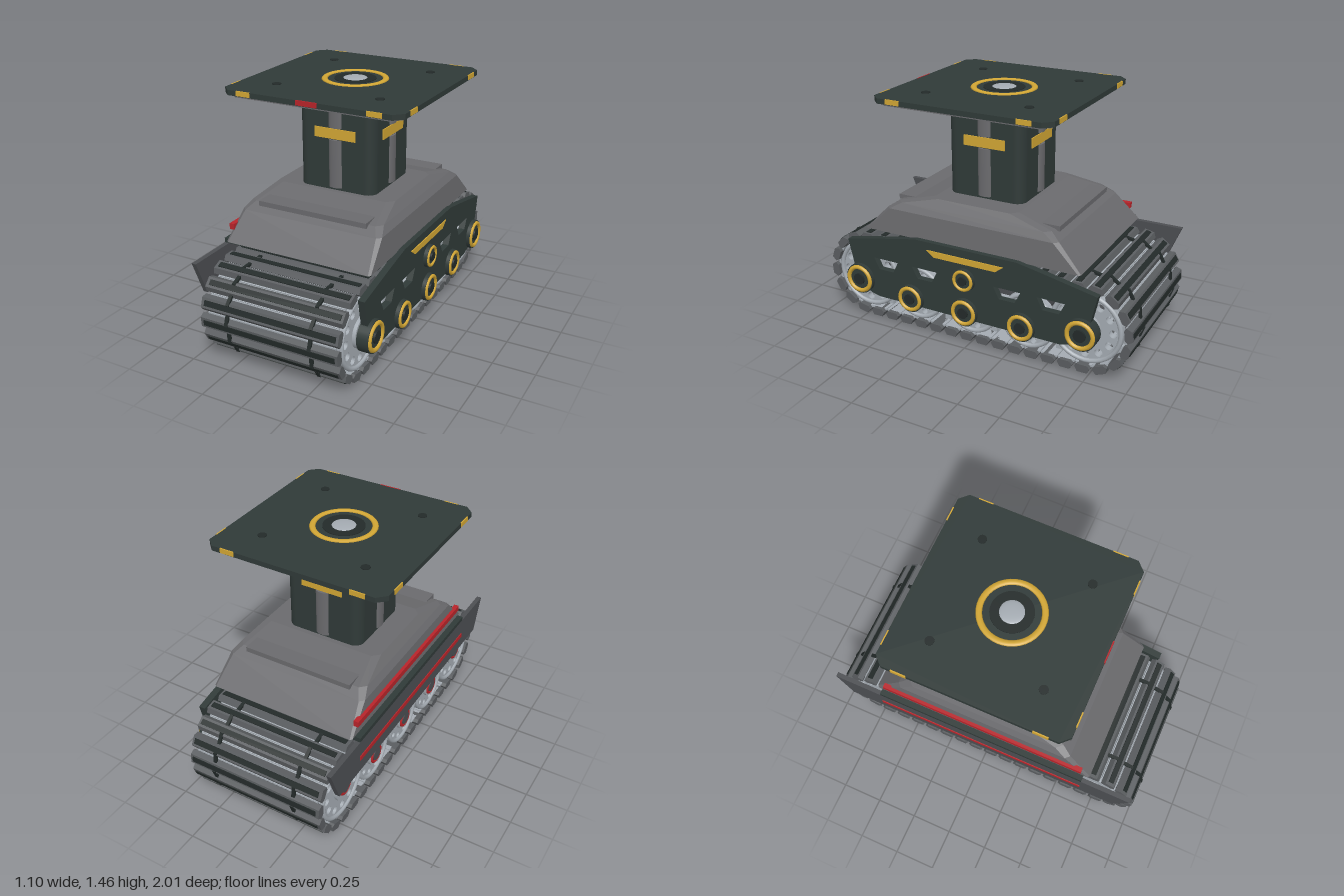
import * as THREE from 'three';

const mat = (name, color, extra = {}) => Object.assign(new THREE.MeshStandardMaterial({ color, ...extra }), { name });

export function createModel() {
  const dark = mat('dark armour', 0x303a38);
  const black = mat('black rubber', 0x232a29);
  const grey = mat('hull grey', 0x6a6a6d);
  const padGrey = mat('track grey', 0x5a5d60);
  const slate = mat('slate grey', 0x4c4e52);
  const silver = mat('silver', 0xa4abb2);
  const gold = mat('gold', 0xd2a634);
  const red = mat('red', 0xb8242a);
  const root = new THREE.Group();
  root.name = 'trackedPlatform';

  const add = (name, geo, material, x = 0, y = 0, z = 0, parent = root) => {
    const m = new THREE.Mesh(geo, material);
    m.name = name;
    m.position.set(x, y, z);
    parent.add(m);
    return m;
  };
  const box = (name, material, x0, x1, y0, y1, z0, z1, parent = root) =>
    add(name, new THREE.BoxGeometry(x1 - x0, y1 - y0, z1 - z0), material,
      (x0 + x1) / 2, (y0 + y1) / 2, (z0 + z1) / 2, parent);
  const poly = pts => new THREE.Shape(pts.map(p => new THREE.Vector2(...p)));
  const mirrored = pts => poly([...pts, ...pts.slice().reverse().map(([z, y]) => [-z, y])]);
  const circleHole = (x, y, r) => new THREE.Path().absarc(x, y, r, 0, Math.PI * 2, true);
  // Outline drawn in (z, y), extruded from x0 to x1
  const sideExtrude = (shape, x0, x1) =>
    new THREE.ExtrudeGeometry(shape, { depth: x1 - x0, bevelEnabled: false, curveSegments: 12 })
      .rotateY(-Math.PI / 2).translate(x1, 0, 0);
  // Outline drawn in (x, z), extruded from y0 to y1
  const upExtrude = (shape, y0, y1) =>
    new THREE.ExtrudeGeometry(shape, { depth: y1 - y0, bevelEnabled: false, curveSegments: 8 })
      .rotateX(-Math.PI / 2).translate(0, y0, 0);
  const discX = (name, material, r, x0, x1, y, z) =>
    add(name, new THREE.CylinderGeometry(r, r, x1 - x0, 28).rotateZ(Math.PI / 2), material, (x0 + x1) / 2, y, z);
  const octagon = (hx, hz, c) => [[hx, hz - c], [hx - c, hz], [-hx + c, hz], [-hx, hz - c],
    [-hx, -hz + c], [-hx + c, -hz], [hx - c, -hz], [hx, -hz + c]];

  // Track: links spaced along a stadium-shaped loop
  const cz = 0.72, cy = 0.28, R = 0.25, links = 42;
  const arc = Math.PI * R, run = cz * 2, total = 2 * (arc + run);
  const padShape = poly([[-0.046, -0.005], [-0.03, 0.025], [0.03, 0.025], [0.046, -0.005], [0.03, -0.022], [-0.03, -0.022]]);
  const padGeo = sideExtrude(padShape, -0.43, 0.425);
  const lipGeo = new THREE.BoxGeometry(0.82, 0.012, 0.032);
  const plateGeo = new THREE.BoxGeometry(0.8, 0.012, 0.1);
  const toothGeo = new THREE.BoxGeometry(0.03, 0.06, 0.04);
  const pegGeo = new THREE.BoxGeometry(0.02, 0.014, 0.1);
  const track = new THREE.Group();
  track.name = 'track';
  root.add(track);
  for (let i = 0; i < links; i++) {
    let s = (i + 0.5) / links * total, z, y, a;   // a = outward angle from up, towards +z
    if (s < run) { z = -cz + s; y = cy + R; a = 0; }
    else if ((s -= run) < arc) { a = s / R; z = cz + R * Math.sin(a); y = cy + R * Math.cos(a); }
    else if ((s -= arc) < run) { z = cz - s; y = cy - R; a = Math.PI; }
    else { a = Math.PI + (s - run) / R; z = -cz + R * Math.sin(a); y = cy + R * Math.cos(a); }
    const link = new THREE.Group();
    link.name = 'trackLink';
    link.position.set(0, y, z);
    link.rotation.x = a;
    add('trackPad', padGeo, padGrey, 0, 0, 0, link);
    add('grouserBar', lipGeo, black, 0, 0.024, 0, link);
    add('linkPlate', plateGeo, silver, 0, -0.016, 0, link);
    for (const x of [-0.26, 0.26]) {
      add('linkPeg', pegGeo, black, x, 0.01, 0.05, link);
      add('guideTooth', toothGeo, silver, x * 1.2, -0.05, 0.03, link);
    }
    track.add(link);
  }

  // Wheels: pierced discs with raised rims, one pair per axle
  const wheel = (name, z, y, r, holes) => {
    const disc = new THREE.Shape().absarc(0, 0, r, 0, Math.PI * 2);
    for (let i = 0; i < holes; i++) {
      const t = i / holes * Math.PI * 2;
      disc.holes.push(circleHole(r * 0.74 * Math.cos(t), r * 0.74 * Math.sin(t), r * 0.11));
    }
    const geo = sideExtrude(disc, -0.02, 0.02);
    const rim = new THREE.TorusGeometry(r - 0.012, 0.014, 8, 36).rotateY(Math.PI / 2);
    for (const x of [-0.39, 0.39]) {
      add(name, geo, silver, x, y, z);
      add(name + 'Rim', rim, silver, x * 1.05, y, z);
      discX(name + 'Hub', silver, r * 0.42, x - 0.04, x + 0.04, y, z);
    }
    discX(name + 'Axle', slate, 0.04, -0.44, 0.45, y, z);
    add(name + 'RedRing', new THREE.TorusGeometry(0.05, 0.01, 8, 24).rotateY(Math.PI / 2), red, -0.43, y, z);
  };
  for (const z of [-cz, cz]) wheel('sprocket', z, 0.285, 0.215, 12);
  for (const z of [-0.365, 0, 0.365]) wheel('roadWheel', z, 0.235, 0.17, 10);
  box('chassis', slate, -0.3, 0.3, 0.3, 0.47, -0.45, 0.45);

  // Left-out side: dark armour panel with windows on +x
  const panel = mirrored([[0.6, 0.185], [0.66, 0.2], [0.76, 0.3], [0.81, 0.525], [0.49, 0.59], [0.33, 0.62]]);
  for (const wz of [-0.54, -0.27, 0.27, 0.54])
    panel.holes.push(new THREE.Path([[-0.085, 0.44], [-0.05, 0.37], [0.05, 0.37], [0.085, 0.44]]
      .map(([a, b]) => new THREE.Vector2(wz + a, b))));
  add('sideArmour', sideExtrude(panel, 0.445, 0.485), dark);
  add('armourStripe', sideExtrude(mirrored([[0.2, 0.535], [0.25, 0.572]]), 0.485, 0.491), gold);
  const hubs = [[-0.725, 0.285, 0.095], [0.725, 0.285, 0.095], [-0.365, 0.235, 0.085],
    [0, 0.235, 0.085], [0.365, 0.235, 0.085], [0, 0.44, 0.07]];
  for (const [z, y, r] of hubs) {
    discX('hubCap', dark, r, 0.44, 0.508, y, z);
    add('hubRing', new THREE.TorusGeometry(r * 0.8, r * 0.14, 8, 28).rotateY(Math.PI / 2), gold, 0.508, y, z);
    discX('hubBolt', black, r * 0.38, 0.5, 0.52, y, z);
  }

  // Slate skirt with red stripe on -x, and its fender
  add('sideSkirt', sideExtrude(mirrored([[0.88, 0.375], [0.965, 0.585]]), -0.49, -0.462), slate);
  box('skirtStripe', red, -0.495, -0.489, 0.455, 0.485, -0.66, 0.66);
  box('fender', dark, -0.49, -0.33, 0.585, 0.612, -0.66, 0.66);
  box('hullRail', red, -0.465, -0.435, 0.665, 0.7, -0.64, 0.64);

  // Hull: flat-sided loft of chamfered rectangles
  const sections = [[0.61, 0.455, 0.695, 0.012], [0.76, 0.44, 0.55, 0.025], [0.8, 0.415, 0.49, 0.035], [0.85, 0.375, 0.27, 0.04]];
  const rings = sections.map(([y, hx, hz, c]) => octagon(hx, hz, c).map(([x, z]) => [x, y, z]));
  const pos = [];
  for (let k = 0; k < rings.length - 1; k++)
    for (let i = 0; i < 8; i++) {
      const j = (i + 1) % 8, a = rings[k][i], b = rings[k][j], c = rings[k + 1][j], d = rings[k + 1][i];
      pos.push(...a, ...c, ...b, ...a, ...d, ...c);
    }
  const last = rings[rings.length - 1], first = rings[0];
  for (let i = 1; i < 7; i++) {
    pos.push(...last[0], ...last[i + 1], ...last[i]);
    pos.push(...first[0], ...first[i], ...first[i + 1]);
  }
  const hullGeo = new THREE.BufferGeometry();
  hullGeo.setAttribute('position', new THREE.Float32BufferAttribute(pos, 3));
  hullGeo.computeVertexNormals();
  add('hull', hullGeo, grey);
  for (const s of [-1, 1])
    add('hullLedge', new THREE.BoxGeometry(0.68, 0.03, 0.22), grey, 0, 0.803, s * 0.41);

  // Column with rounded corners
  const c = 0.24, q = 0.06;
  const col = new THREE.Shape();
  col.absarc(c - q, c - q, q, 0, Math.PI / 2);
  col.absarc(-c + q, c - q, q, Math.PI / 2, Math.PI);
  col.absarc(-c + q, -c + q, q, Math.PI, Math.PI * 1.5);
  col.absarc(c - q, -c + q, q, Math.PI * 1.5, Math.PI * 2);
  add('column', upExtrude(col, 0.84, 1.41), dark);
  add('columnCollar', new THREE.CylinderGeometry(0.29, 0.27, 0.02, 40), dark, 0, 1.4, 0);
  // Ribs and gold bars on each column face
  for (let i = 0; i < 4; i++) {
    const face = new THREE.Group();
    face.name = 'columnFace';
    face.rotation.y = i * Math.PI / 2;
    for (const [y0, y1] of [[0.865, 1.15], [1.22, 1.39]])
      add('columnRib', new THREE.CylinderGeometry(0.042, 0.042, y1 - y0, 20).scale(1, 1, 0.45), grey, 0, (y0 + y1) / 2, 0.236, face);
    box('columnBar', gold, -0.13, 0.13, 1.155, 1.215, 0.239, 0.246, face);
    root.add(face);
  }

  // Top deck
  add('deckPlate', upExtrude(poly(octagon(0.547, 0.547, 0.05).reverse()), 1.42, 1.45), dark);
  const frame = poly(octagon(0.52, 0.52, 0.05).reverse());
  frame.holes.push(new THREE.Path(octagon(0.48, 0.48, 0.04).map(p => new THREE.Vector2(...p))));
  add('deckFrame', upExtrude(frame, 1.405, 1.42), grey);
  for (let i = 0; i < 4; i++) {
    const edge = new THREE.Group();
    edge.name = 'deckEdge';
    edge.rotation.y = i * Math.PI / 2;
    for (const x of [-0.397, 0.397]) box('edgeMark', gold, x - 0.044, x + 0.044, 1.423, 1.451, 0.543, 0.55, edge);
    if (i === 0) box('frontMark', red, -0.065, 0.065, 1.423, 1.451, 0.543, 0.55, edge);
    add('deckFoot', new THREE.CylinderGeometry(0.016, 0.016, 0.02, 12), grey, 0.455, 1.4, 0.455, edge);
    add('deckBolt', new THREE.CylinderGeometry(0.026, 0.026, 0.008, 16), black, 0.32, 1.45, 0.325, edge);
    root.add(edge);
  }
  add('deckRing', new THREE.TorusGeometry(0.175, 0.018, 8, 40).rotateX(Math.PI / 2).scale(1, 0.5, 1), gold, 0, 1.45, 0);
  add('deckDisc', new THREE.CylinderGeometry(0.12, 0.12, 0.008, 32), black, 0, 1.45, 0);
  add('deckDome', new THREE.SphereGeometry(0.07, 24, 8, 0, Math.PI * 2, 0, Math.PI / 2).scale(1, 0.15, 1), silver, 0, 1.452, 0);
  return root;
}
